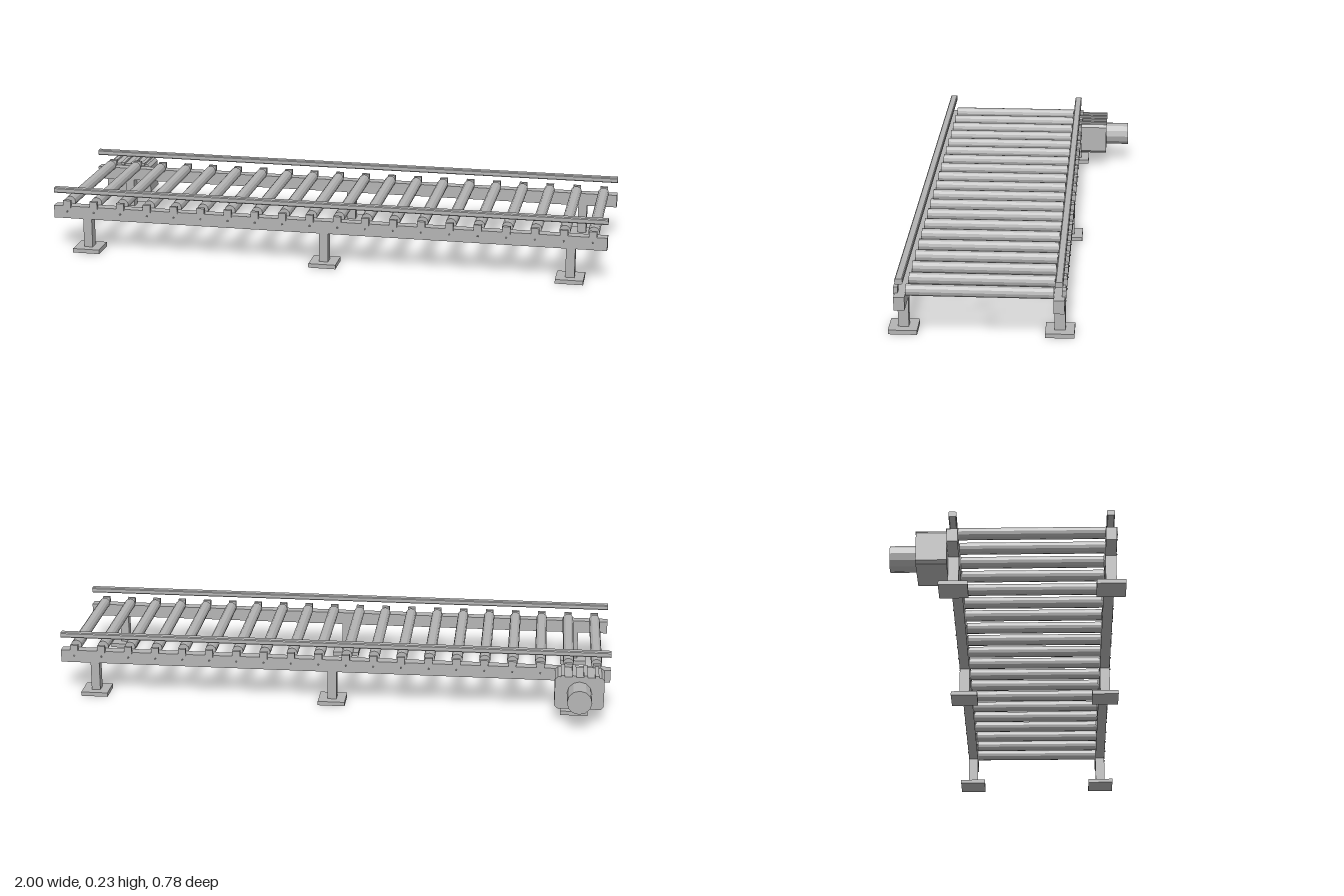
import * as THREE from 'three';

const steel = new THREE.MeshStandardMaterial({ color: 0xb4b4b4, flatShading: true });
steel.name = 'steel grey';

const MID_Z = 0.08; // centre line of the roller bed
const RAIL = 0.26; // rail distance from the centre line

function add(parent, name, geometry, x, y, z) {
  const mesh = new THREE.Mesh(geometry, steel);
  mesh.name = name;
  mesh.position.set(x, y, z);
  parent.add(mesh);
  return mesh;
}

const box = (w, h, d) => new THREE.BoxGeometry(w, h, d);

// Cylinder lying along z
const rod = (r, length, sides) =>
  new THREE.CylinderGeometry(r, r, length, sides).rotateX(Math.PI / 2);

// Bar with cut corners, extruded along z and centred
function chamferedBar(w, h, length, c) {
  const a = w / 2, b = h / 2;
  const points = [
    [-a + c, -b], [a - c, -b], [a, -b + c], [a, b - c],
    [a - c, b], [-a + c, b], [-a, b - c], [-a, -b + c],
  ].map(([x, y]) => new THREE.Vector2(x, y));
  return new THREE.ExtrudeGeometry(new THREE.Shape(points), { depth: length, bevelEnabled: false })
    .translate(0, 0, -length / 2);
}

export function createModel() {
  const model = new THREE.Group();
  model.name = 'rollerConveyor';

  const rollerX = Array.from({ length: 20 }, (_, i) => -0.95 + i * 0.1);

  // Rollers
  const rollers = new THREE.Group();
  rollers.name = 'rollers';
  model.add(rollers);
  const rollerGeo = rod(0.02, 0.484, 12);
  for (const x of rollerX) add(rollers, 'roller', rollerGeo, x, 0.173, MID_Z);

  // Two mirrored sides: rail, guard rail, bearings, bolts and legs
  const guardGeo = chamferedBar(0.026, 0.019, 2, 0.003).rotateY(Math.PI / 2);
  const bearingGeo = box(0.028, 0.027, 0.014);
  const boltGeo = rod(0.003, 0.006, 6);
  for (const s of [1, -1]) {
    const side = new THREE.Group();
    side.name = s > 0 ? 'frontSide' : 'backSide';
    model.add(side);
    const z = MID_Z + s * RAIL;
    add(side, 'sideRail', box(2, 0.046, 0.036), 0, 0.143, z);
    add(side, 'guardRail', guardGeo, 0, 0.221, z);
    for (const x of rollerX) {
      add(side, 'bearingBlock', bearingGeo, x, 0.1735, z + s * 0.015);
      add(side, 'bolt', boltGeo, x, 0.146, z + s * 0.02);
    }
    for (const x of [-0.875, 0, 0.875]) {
      add(side, 'leg', box(0.032, 0.106, 0.036), x, 0.068, z);
      add(side, 'foot', box(0.098, 0.015, 0.097), x, 0.0075, z);
    }
  }

  // Drive unit on the back rail
  const drive = new THREE.Group();
  drive.name = 'driveUnit';
  drive.position.x = -0.89;
  model.add(drive);
  add(drive, 'gearbox', chamferedBar(0.174, 0.12, 0.102, 0.01), 0, 0.114, -0.249);
  for (let i = 0; i < 4; i++) {
    add(drive, 'coolingRib', box(0.014, 0.01, 0.112), -0.06 + i * 0.04, 0.1755, -0.246);
  }
  add(drive, 'motor', rod(0.044, 0.09, 12), 0, 0.113, -0.344);

  return model;
}
